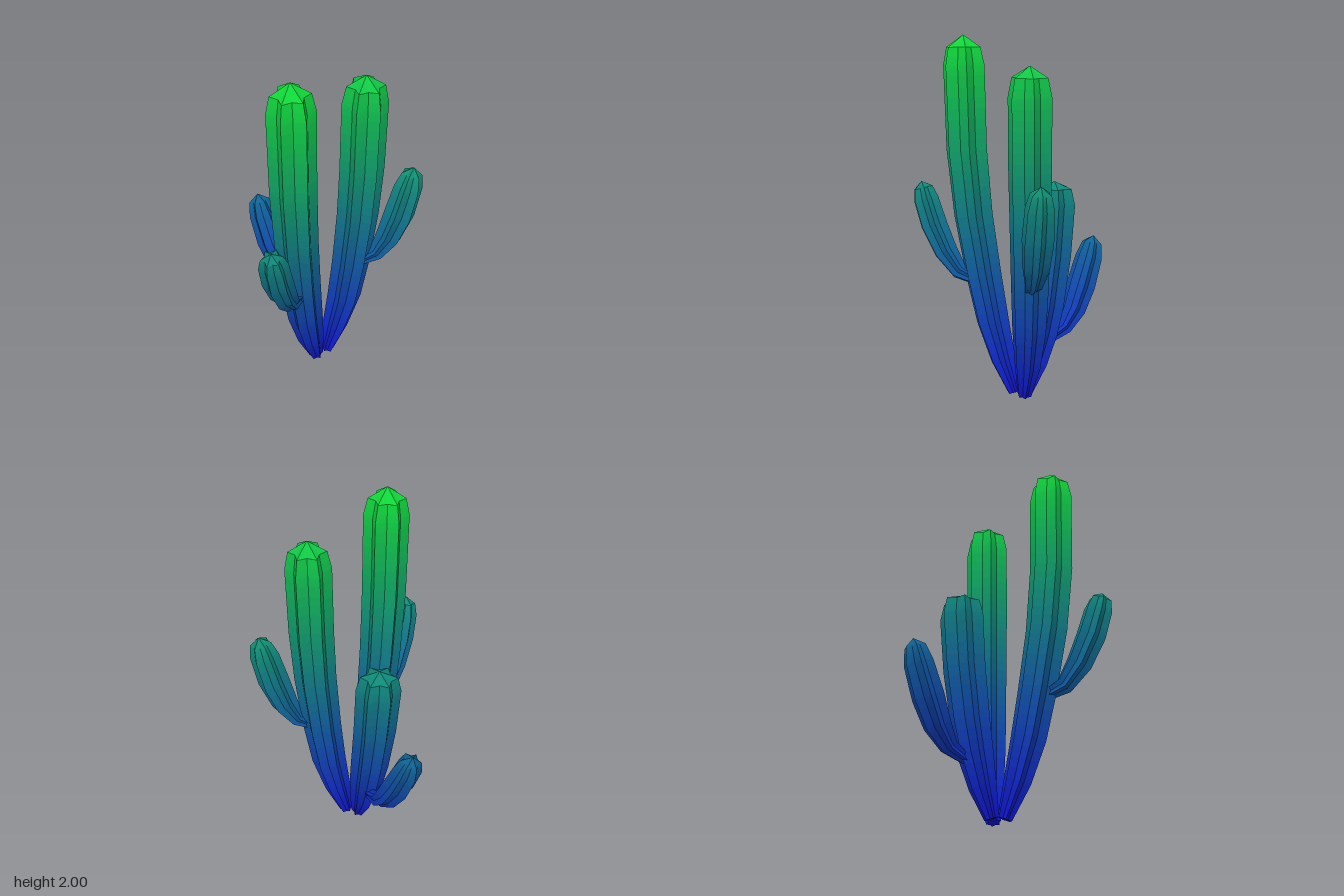
import * as THREE from 'three';
import { toCreasedNormals } from 'three/addons/utils/BufferGeometryUtils.js';

const RIBS = 6, SIDES = RIBS * 2, VALLEY = 0.69, TWIST = 0.2;

// Blue at the foot, green at the tips
function heightColor(y) {
  const t = THREE.MathUtils.clamp(y / 1.95, 0, 1);
  return new THREE.Color().setRGB(0.06, 0.07 + 0.77 * t, 0.85 - 0.63 * t, THREE.SRGBColorSpace);
}

// Star-shaped ring of points around the path, square to its direction
function starRing(center, tangent, radius) {
  const q = new THREE.Quaternion().setFromUnitVectors(new THREE.Vector3(0, 1, 0), tangent);
  return Array.from({ length: SIDES }, (_, k) => {
    const a = TWIST + (k / SIDES) * Math.PI * 2;
    const r = radius * (k % 2 ? VALLEY : 1);
    return new THREE.Vector3(Math.cos(a) * r, 0, Math.sin(a) * r).applyQuaternion(q).add(center);
  });
}

// Ribbed stem through stations [x, y, z, radius], cut into bands of colour
function ribbedStem(name, stations) {
  const [x, y, z] = stations[0];
  const all = [[x, y - 0.002, z, 0.001], ...stations]; // closes the foot
  const pts = all.map((s) => new THREE.Vector3(s[0], s[1], s[2]));
  const last = pts.length - 1;
  const key = pts.map((p, i) => {
    const t = pts[Math.min(i + 1, last)].clone().sub(pts[Math.max(i - 1, 0)]).normalize();
    return starRing(p, t, all[i][3]);
  });

  // Split long spans so that the colour runs smoothly
  const rings = [key[0]], heights = [pts[0].y];
  for (let i = 1; i <= last; i++) {
    const n = Math.max(1, Math.ceil(pts[i].distanceTo(pts[i - 1]) / 0.06));
    for (let j = 1; j <= n; j++) {
      rings.push(key[i].map((p, k) => key[i - 1][k].clone().lerp(p, j / n)));
      heights.push(THREE.MathUtils.lerp(pts[i - 1].y, pts[i].y, j / n));
    }
  }

  const index = [];
  for (let i = 0; i < rings.length - 1; i++) {
    for (let k = 0; k < SIDES; k++) {
      const a = i * SIDES + k, b = i * SIDES + ((k + 1) % SIDES);
      index.push(a, a + SIDES, b, b, a + SIDES, b + SIDES);
    }
  }
  let skin = new THREE.BufferGeometry().setFromPoints(rings.flat());
  skin.setIndex(index);
  skin.scale(100, 100, 100); // finer vertex matching for the creases
  skin = toCreasedNormals(skin, 0.6);
  skin.scale(0.01, 0.01, 0.01);

  const stem = new THREE.Group();
  stem.name = name;
  const size = SIDES * 6 * 3;
  for (let i = 0; i < rings.length - 1; i++) {
    const band = new THREE.BufferGeometry();
    for (const key of ['position', 'normal']) {
      const part = skin.getAttribute(key).array.slice(i * size, (i + 1) * size);
      band.setAttribute(key, new THREE.BufferAttribute(part, 3));
    }
    const color = heightColor((heights[i] + heights[i + 1]) / 2);
    const mesh = new THREE.Mesh(band, new THREE.MeshStandardMaterial({ color }));
    mesh.name = name + 'Band';
    stem.add(mesh);
  }
  return stem;
}

export function createModel() {
  const cactus = new THREE.Group();
  cactus.name = 'cactus';

  // Three trunks fanning out from one foot
  cactus.add(ribbedStem('tallTrunk', [
    [-0.087, 0.015, 0.07, 0.04], [-0.135, 0.2, 0.12, 0.075], [-0.18, 0.42, 0.165, 0.097],
    [-0.215, 0.68, 0.205, 0.107], [-0.25, 1.02, 0.25, 0.115], [-0.27, 1.38, 0.278, 0.12],
    [-0.275, 1.84, 0.287, 0.121], [-0.277, 1.935, 0.288, 0.1], [-0.278, 2.0, 0.288, 0.001],
  ]));
  cactus.add(ribbedStem('middleTrunk', [
    [-0.012, 0.015, 0.042, 0.04], [0.04, 0.2, 0.045, 0.075], [0.09, 0.42, 0.055, 0.097],
    [0.125, 0.68, 0.065, 0.107], [0.155, 1.0, 0.075, 0.115], [0.17, 1.3, 0.082, 0.12],
    [0.177, 1.69, 0.085, 0.121], [0.179, 1.79, 0.086, 0.1], [0.18, 1.85, 0.086, 0.001],
  ]));
  cactus.add(ribbedStem('shortTrunk', [
    [-0.075, 0.015, 0.005, 0.04], [-0.09, 0.17, -0.05, 0.075], [-0.1, 0.34, -0.095, 0.097],
    [-0.11, 0.5, -0.128, 0.107], [-0.125, 0.78, -0.168, 0.116], [-0.135, 1.07, -0.19, 0.121],
    [-0.137, 1.155, -0.191, 0.1], [-0.138, 1.195, -0.192, 0.001],
  ]));

  // One side arm growing outward from each trunk
  cactus.add(ribbedStem('tallTrunkArm', [
    [-0.235, 0.645, 0.235, 0.03], [-0.31, 0.69, 0.315, 0.052], [-0.363, 0.8, 0.377, 0.072],
    [-0.41, 0.95, 0.43, 0.081], [-0.438, 1.09, 0.464, 0.077], [-0.449, 1.155, 0.477, 0.058],
    [-0.455, 1.19, 0.485, 0.001],
  ]));
  cactus.add(ribbedStem('middleTrunkArm', [
    [0.18, 0.675, 0.085, 0.03], [0.26, 0.72, 0.1, 0.05], [0.325, 0.83, 0.113, 0.075],
    [0.378, 0.98, 0.124, 0.087], [0.42, 1.15, 0.13, 0.08], [0.437, 1.23, 0.132, 0.058],
    [0.445, 1.27, 0.134, 0.001],
  ]));
  cactus.add(ribbedStem('shortTrunkArm', [
    [-0.105, 0.295, -0.15, 0.03], [-0.135, 0.34, -0.25, 0.05], [-0.17, 0.43, -0.325, 0.075],
    [-0.205, 0.56, -0.39, 0.087], [-0.235, 0.72, -0.455, 0.08], [-0.247, 0.8, -0.48, 0.058],
    [-0.252, 0.84, -0.492, 0.001],
  ]));
  return cactus;
}
